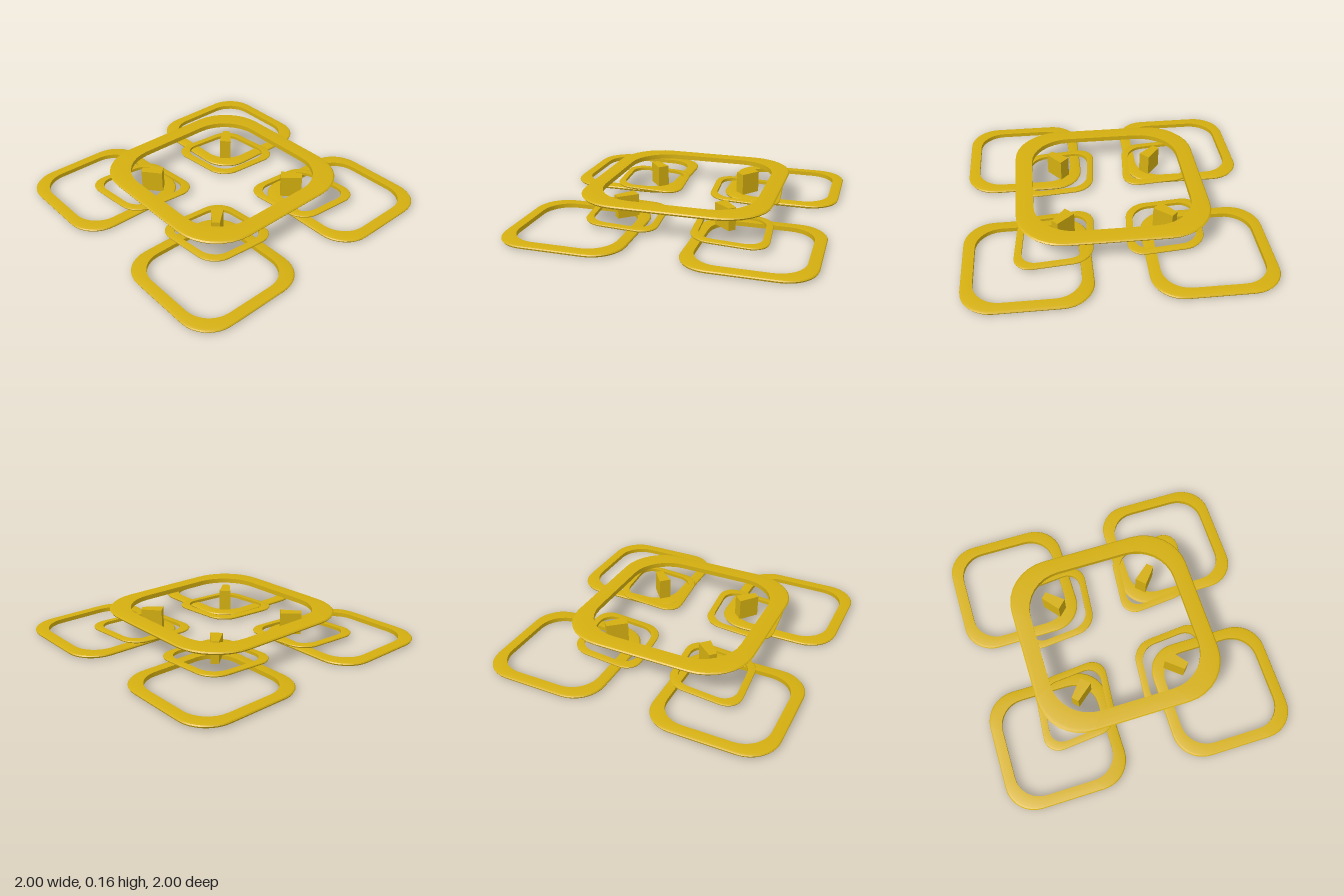
import * as THREE from 'three';
import { toCreasedNormals } from 'three/addons/utils/BufferGeometryUtils.js';

const gold = new THREE.MeshStandardMaterial({ color: 0xd4af10 });

// Diamond with rounded corners: arcs of radius r centred at distance c on each axis
function contour(c, r, steps = 8) {
  const pts = [];
  for (let k = 0; k < 4; k++) {
    const axis = k * Math.PI / 2;
    for (let s = 0; s <= steps; s++) {
      const a = axis + (s / steps - 0.5) * Math.PI / 2;
      pts.push([c * Math.cos(axis) + r * Math.cos(a), c * Math.sin(axis) + r * Math.sin(a)]);
    }
  }
  return pts;
}

const OUTER = contour(0.597, 0.403), INNER = contour(0.46, 0.35);
// Cross-section: t runs from the outer to the inner contour, y is a share of the height
const PROFILE = [[0.28, 0], [0.06, 0.3], [0, 0.65], [0.06, 0.88], [0.2, 1], [1, 1], [1, 0]];

// Ring with half extents sx, sz, standing from y0 to y1
function ring(name, sx, sz, y0, y1) {
  const pos = [], index = [], n = OUTER.length, m = PROFILE.length;
  for (let i = 0; i < n; i++) {
    for (let j = 0; j < m; j++) {
      const [t, h] = PROFILE[j];
      pos.push(
        sx * THREE.MathUtils.lerp(OUTER[i][0], INNER[i][0], t),
        THREE.MathUtils.lerp(y0, y1, h),
        sz * THREE.MathUtils.lerp(OUTER[i][1], INNER[i][1], t));
      const i2 = (i + 1) % n, j2 = (j + 1) % m;
      const a = i * m + j, b = i2 * m + j, c = i2 * m + j2, d = i * m + j2;
      index.push(a, d, c, a, c, b);
    }
  }
  const g = new THREE.BufferGeometry();
  g.setAttribute('position', new THREE.Float32BufferAttribute(pos, 3));
  g.setIndex(index);
  const mesh = new THREE.Mesh(toCreasedNormals(g, 0.5), gold);
  mesh.name = name;
  return mesh;
}

// Upright block, narrower at its outer (+z) end
function block() {
  const g = new THREE.BoxGeometry(1, 0.115, 0.11);
  const p = g.attributes.position;
  for (let i = 0; i < p.count; i++) p.setX(i, p.getX(i) * (p.getZ(i) > 0 ? 0.04 : 0.062));
  g.translate(0, 0.0775, 0.366);
  const flat = g.toNonIndexed();
  flat.computeVertexNormals();
  const mesh = new THREE.Mesh(flat, gold);
  mesh.name = 'supportBlock';
  return mesh;
}

export function createModel() {
  const model = new THREE.Group();
  model.name = 'ceilingLamp';
  // Large raised ring in the middle
  model.add(ring('centralRing', 0.587, 0.587, 0.13, 0.155));
  // One outer ring, one small ring and one block on each side
  for (let k = 0; k < 4; k++) {
    const a = k * Math.PI / 2, dx = Math.round(Math.sin(a)), dz = Math.round(Math.cos(a));
    const outer = ring('outerRing', 0.377, 0.377, 0, 0.022);
    outer.position.set(dx * 0.623, 0, dz * 0.623);
    const small = ring('smallRing', 0.256, 0.215, 0.019, 0.035);
    small.position.set(dx * 0.426, 0, dz * 0.36);
    const support = block();
    support.rotation.y = a;
    model.add(outer, small, support);
  }
  return model;
}
